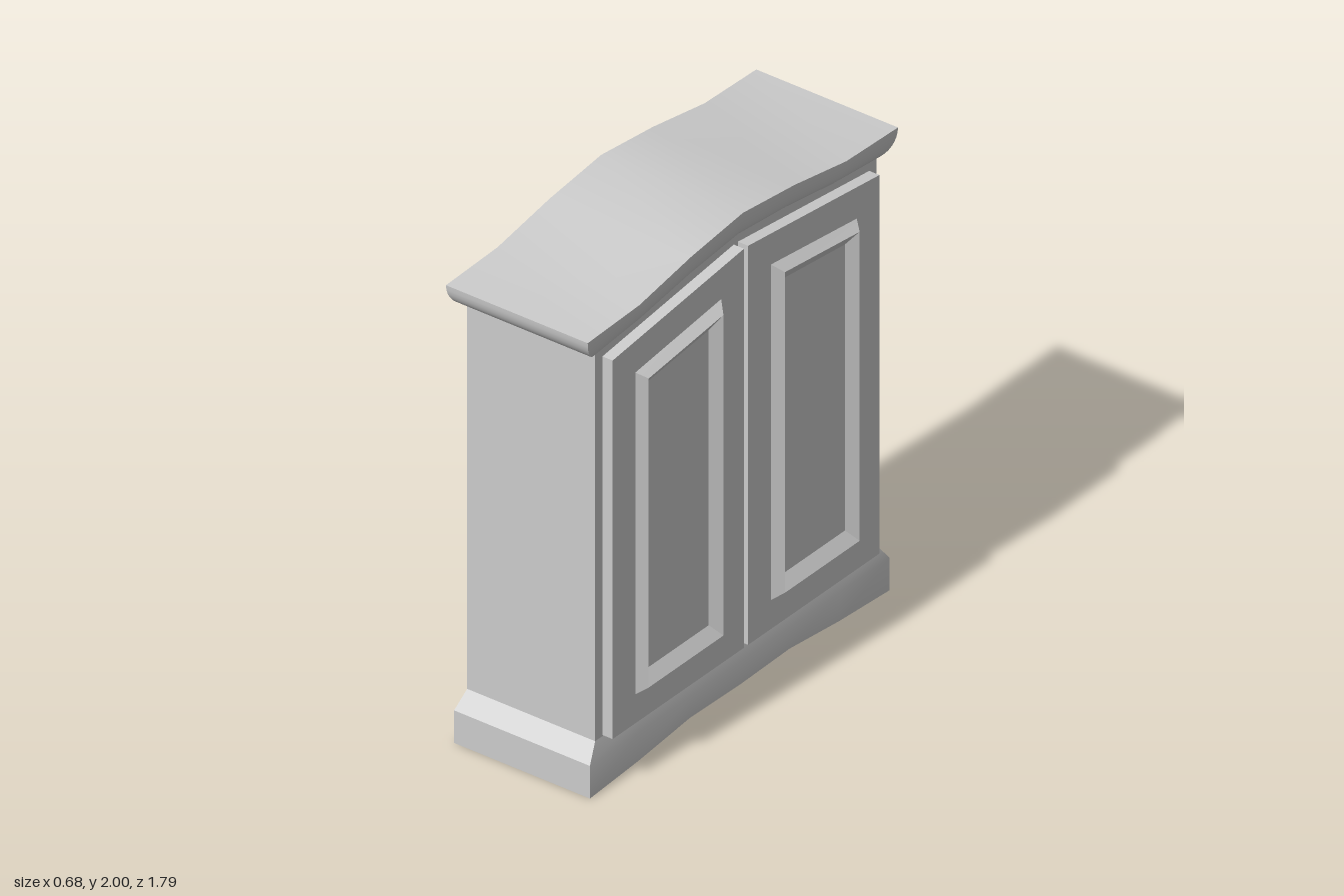
import * as THREE from 'three';
import { toCreasedNormals } from 'three/addons/utils/BufferGeometryUtils.js';

const material = new THREE.MeshStandardMaterial({ color: 0xcccccc });

// Skin a stack of loops (counter-clockwise seen from the last one), with optional caps.
function loft(name, loops, capStart, capEnd) {
  const pos = [];
  const quad = (a, b, c, d) => pos.push(...a, ...b, ...c, ...a, ...c, ...d);
  const n = loops[0].length;
  for (let k = 0; k < loops.length - 1; k++) {
    const a = loops[k], b = loops[k + 1];
    for (let i = 0; i < n; i++) {
      const j = (i + 1) % n;
      quad(a[i], a[j], b[j], b[i]);
    }
  }
  const s = loops[0], e = loops[loops.length - 1];
  for (let i = 0; i < n / 2 - 1; i++) {
    if (capStart) quad(s[n - 1 - i], s[n - 2 - i], s[i + 1], s[i]);
    if (capEnd) quad(e[i], e[i + 1], e[n - 2 - i], e[n - 1 - i]);
  }
  const geo = new THREE.BufferGeometry();
  geo.setAttribute('position', new THREE.Float32BufferAttribute(pos, 3));
  const mesh = new THREE.Mesh(toCreasedNormals(geo, 0.5), material);
  mesh.name = name;
  return mesh;
}

// Rectangular ring whose height follows ys, listed from the centre out to the ends.
function ring(back, front, halfDepth, ys) {
  const row = [];
  for (let i = -3; i <= 3; i++) row.push([ys[Math.abs(i)], (-i / 3) * halfDepth]);
  return [
    ...row.map(([y, z]) => [front, y, z]),
    ...row.slice().reverse().map(([y, z]) => [back, y, z]),
  ];
}

// Four-cornered outline facing +x with a slanted top; side -1 mirrors it.
function outline(x, inner, outer, bottom, topInner, topOuter, side) {
  const pts = [[outer, bottom], [inner, bottom], [inner, topInner], [outer, topOuter]]
    .map(([z, y]) => [x, y, z * side]);
  return side < 0 ? pts.reverse() : pts;
}

export function createModel() {
  const group = new THREE.Group();
  group.name = 'cabinet';

  const flat = (y) => [y, y, y, y];
  const archLow = [1.9, 1.875, 1.835, 1.81];
  const archHigh = [2.0, 1.967, 1.916, 1.907];

  // plinth with a scalloped lower edge and chamfered top
  group.add(loft('base', [
    ring(-0.328, 0.272, 0.862, [0.04, 0.046, 0.017, 0]),
    ring(-0.328, 0.272, 0.862, flat(0.135)),
    ring(-0.31, 0.255, 0.81, flat(0.205)),
  ], true, false));

  // carcass
  group.add(loft('body', [
    ring(-0.31, 0.255, 0.81, flat(0.205)),
    ring(-0.31, 0.255, 0.81, archLow),
  ], false, false));

  // arched crown with a rounded underside
  const crown = [];
  const steps = 8;
  for (let k = 0; k <= steps; k++) {
    const a = (k / steps) * Math.PI / 2;
    const out = Math.sin(a), up = 1 - Math.cos(a);
    crown.push(ring(-0.31 - 0.03 * out, 0.255 + 0.031 * out, 0.81 + 0.083 * out,
      archLow.map((y, i) => y + (archHigh[i] - y) * up)));
  }
  group.add(loft('crown', crown, false, true));

  // pair of doors, each with a raised ridge moulding
  for (const side of [1, -1]) {
    const label = side > 0 ? 'left' : 'right';
    group.add(loft(label + 'Door', [
      outline(0.25, 0.012, 0.768, 0.21, 1.863, 1.778, side),
      outline(0.3, 0.012, 0.768, 0.21, 1.863, 1.778, side),
    ], true, true));
    group.add(loft(label + 'DoorMoulding', [
      outline(0.3, 0.143, 0.637, 0.33, 1.72, 1.663, side),
      outline(0.336, 0.177, 0.607, 0.357, 1.685, 1.637, side),
      outline(0.3, 0.215, 0.569, 0.405, 1.627, 1.59, side),
    ], false, false));
  }
  return group;
}
